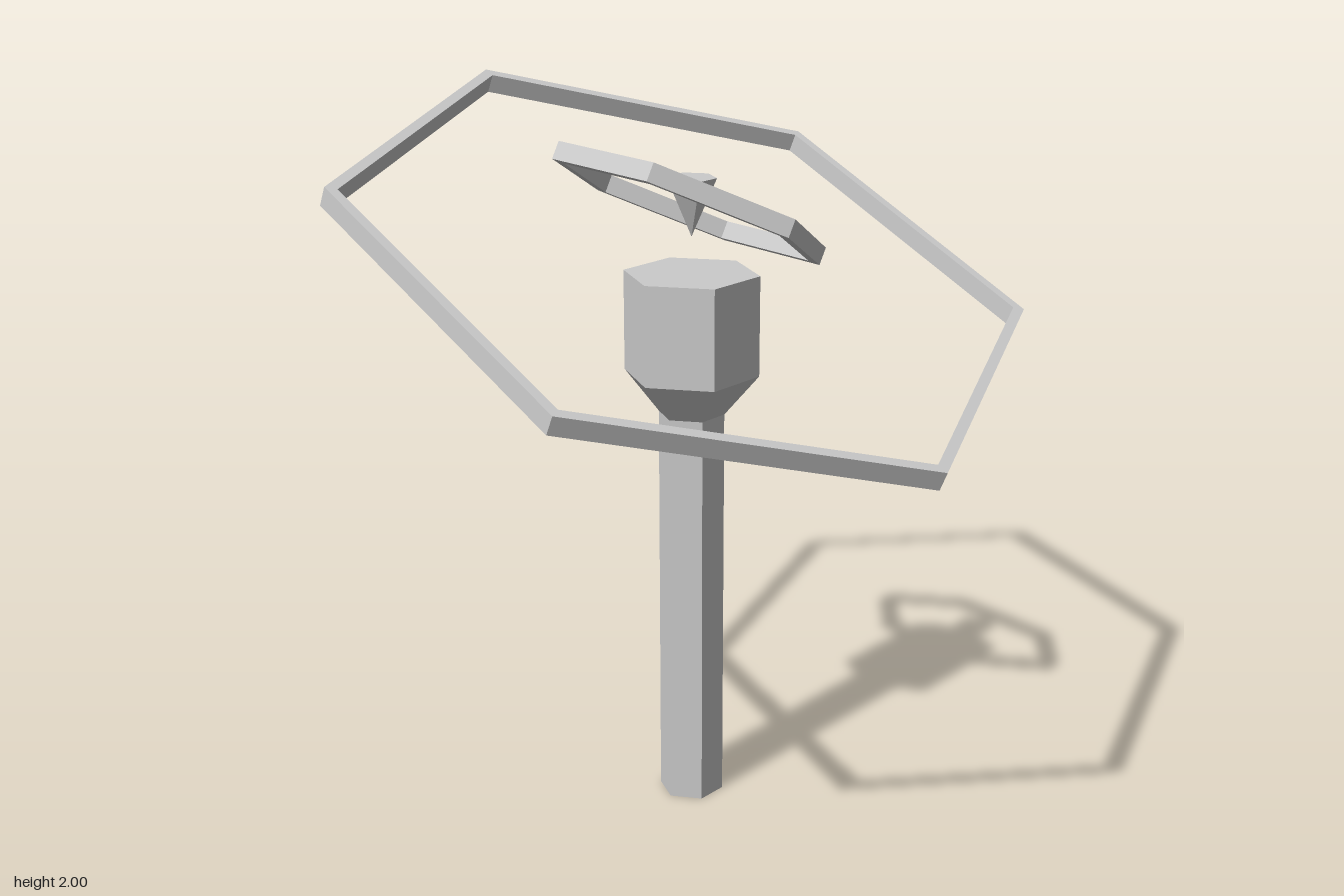
import * as THREE from 'three';

const SIDES = 6;
const material = new THREE.MeshStandardMaterial({ color: 0xcccccc, flatShading: true });

function part(name, geometry) {
  const mesh = new THREE.Mesh(geometry, material);
  mesh.name = name;
  return mesh;
}

// Six-sided solid turned from a [radius, y] profile, listed from bottom to top
function hexTurned(name, profile) {
  const points = profile.map(([r, y]) => new THREE.Vector2(r, y));
  return part(name, new THREE.LatheGeometry(points, SIDES));
}

function hexagon(PathType, radius) {
  const points = [];
  for (let i = 0; i < SIDES; i++) {
    const a = (i / SIDES) * Math.PI * 2;
    points.push(new THREE.Vector2(radius * Math.cos(a), radius * Math.sin(a)));
  }
  return new PathType(points);
}

// Tilted hexagonal hoop: `axis` is its normal, `corner` points to one vertex
function hexRing(name, outer, inner, height, y, axis, corner) {
  const shape = hexagon(THREE.Shape, outer);
  shape.holes.push(hexagon(THREE.Path, inner));
  const geometry = new THREE.ExtrudeGeometry(shape, { depth: height, bevelEnabled: false });
  geometry.translate(0, 0, -height / 2);

  const n = new THREE.Vector3(...axis).normalize();
  const v = new THREE.Vector3().crossVectors(n, new THREE.Vector3(...corner)).normalize();
  const u = new THREE.Vector3().crossVectors(v, n);
  geometry.applyMatrix4(new THREE.Matrix4().makeBasis(u, v, n).setPosition(0, y, 0));
  return part(name, geometry);
}

export function createModel() {
  const model = new THREE.Group();
  model.name = 'ringedPillar';

  // Pillar with flared head
  model.add(hexTurned('pillar', [
    [0, 0], [0.092, 0], [0.092, 1.155], [0.188, 1.27], [0.188, 1.55], [0, 1.55],
  ]));

  // Floating inverted spike above the head
  model.add(hexTurned('spike', [[0, 1.65], [0.069, 1.81], [0, 1.81]]));

  // Two floating rings, tilted in different directions
  model.add(hexRing('innerRing', 0.39, 0.356, 0.05, 1.738, [0.474, 1, -0.188], [0.145, 0, 0.365]));
  model.add(hexRing('outerRing', 0.992, 0.958, 0.055, 1.585, [0.2065, 1, 0.371], [0.965, -0.225, 0.07]));

  return model;
}
